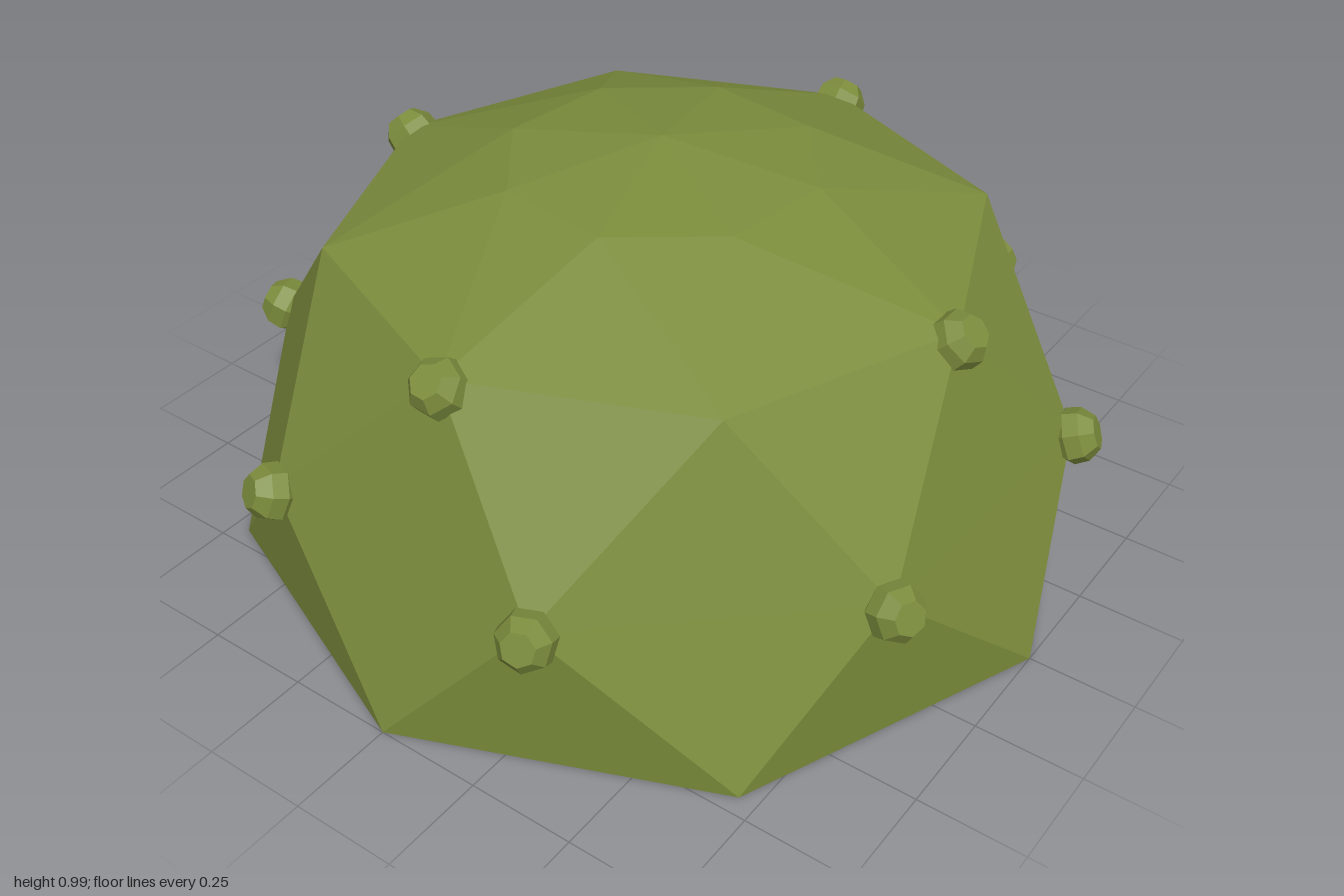
import * as THREE from 'three';

const SIDES = 8;

// Point on a ring, with the angle in degrees turning from +z towards +x
function ringPoint([radius, y, offset], i) {
  const a = THREE.MathUtils.degToRad(offset + (i * 360) / SIDES);
  return new THREE.Vector3(radius * Math.sin(a), y, radius * Math.cos(a));
}

// Rings of the dome from base to top: radius, height, twist
const RINGS = [
  [1, 0, 0],
  [0.95, 0.38, 20],
  [0.75, 0.77, 0],
  [0.36, 0.93, 14.5],
];
const APEX = new THREE.Vector3(0, 0.985, 0);

// Faceted shell: staggered rings joined by triangles, closed by a fan
function domeGeometry() {
  const points = [];
  for (let r = 0; r < RINGS.length - 1; r++) {
    // the higher ring lags half a step on every second row
    const shift = r % 2 ? 1 : 0;
    for (let i = 0; i < SIDES; i++) {
      const a = ringPoint(RINGS[r], i);
      const b = ringPoint(RINGS[r], i + 1);
      const c = ringPoint(RINGS[r + 1], i + shift);
      const d = ringPoint(RINGS[r + 1], i + 1 + shift);
      if (shift) points.push(a, b, c, b, d, c);
      else points.push(a, b, c, b, d, c);
    }
  }
  const top = RINGS[RINGS.length - 1];
  for (let i = 0; i < SIDES; i++) points.push(ringPoint(top, i), ringPoint(top, i + 1), APEX);
  const geometry = new THREE.BufferGeometry().setFromPoints(points);
  geometry.computeVertexNormals();
  return geometry;
}

export function createModel() {
  const model = new THREE.Group();
  model.name = 'studdedDome';

  const olive = new THREE.MeshStandardMaterial({ color: 0x7b8c3c });
  olive.name = 'olive green';
  olive.flatShading = true;
  olive.side = THREE.DoubleSide;

  // Open shell
  const dome = new THREE.Mesh(domeGeometry(), olive);
  dome.name = 'domeShell';
  model.add(dome);

  // Squat faceted stud, its axis along y
  const profile = [[0, -0.05], [0.04, -0.05], [0.066, -0.015], [0.062, 0.02], [0.038, 0.05], [0, 0.05]];
  const studGeometry = new THREE.LatheGeometry(profile.map(([x, y]) => new THREE.Vector2(x, y)), 7);
  const up = new THREE.Vector3(0, 1, 0);

  function addStud(name, position, turn) {
    const stud = new THREE.Mesh(studGeometry, olive);
    stud.name = name;
    stud.position.copy(position);
    stud.quaternion.setFromUnitVectors(up, position.clone().normalize());
    stud.rotateY(turn);
    model.add(stud);
  }

  // Lower studs on every corner, upper studs on every second corner
  for (let i = 0; i < SIDES; i++) addStud('lowerStud' + (i + 1), ringPoint([0.96, 0.37, 20], i), i * 0.7);
  for (let i = 0; i < SIDES; i += 2) addStud('upperStud' + (i / 2 + 1), ringPoint([0.75, 0.75, 0], i), i * 0.7);

  return model;
}
